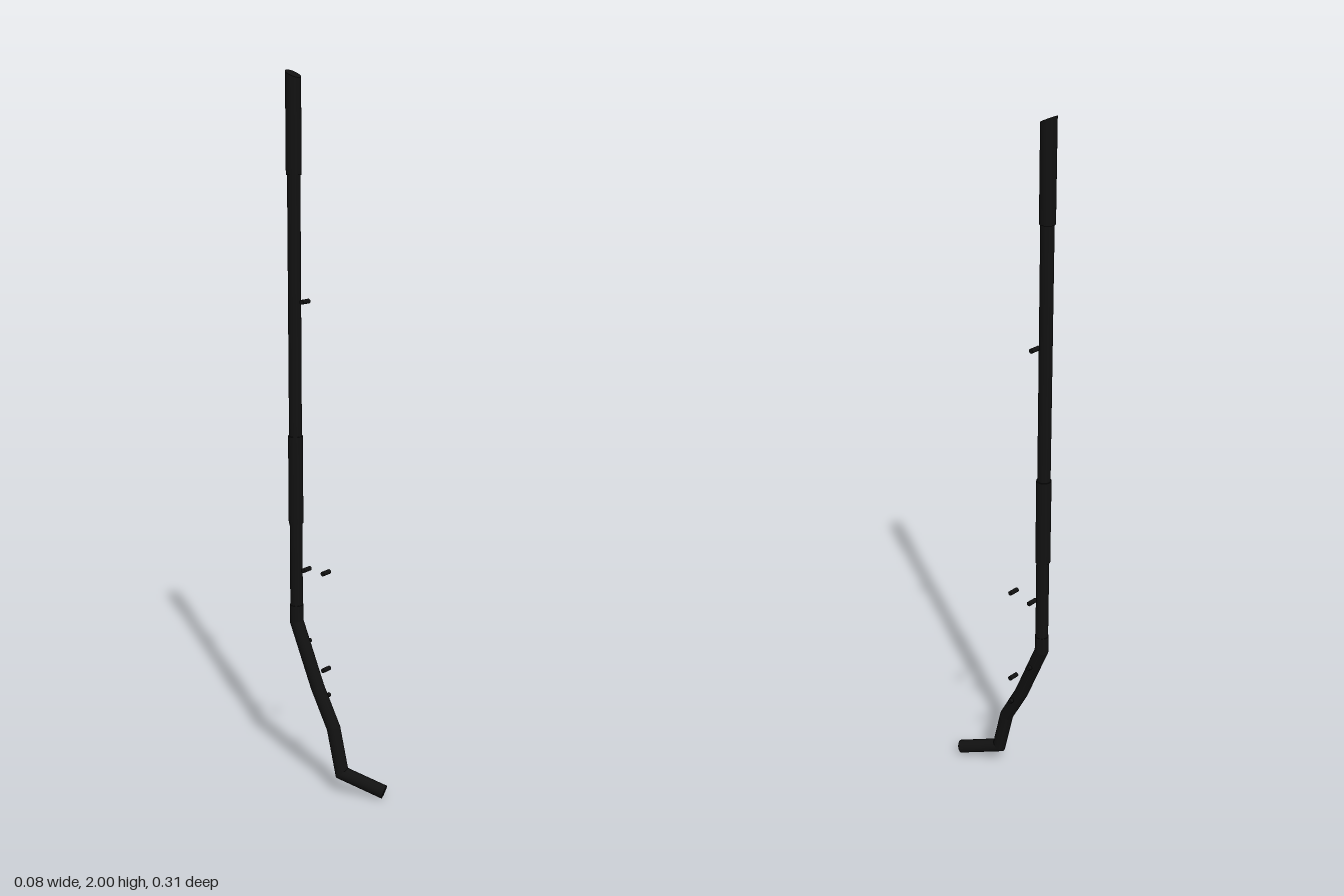
import * as THREE from 'three';
import { mergeGeometries } from 'three/addons/utils/BufferGeometryUtils.js';

const SIDES = 32;
const V = (x, y, z) => new THREE.Vector3(x, y, z);

// Capped round pipe along straight runs, mitred at every bend.
// startNormal / endNormal allow slanted end cuts.
function mitredPipe(points, radius, startNormal, endNormal) {
  const dirs = points.slice(1).map((p, i) => p.clone().sub(points[i]).normalize());
  const last = dirs.length;
  const u = V(1, 0, 0).addScaledVector(dirs[0], -dirs[0].x).normalize();
  const w = dirs[0].clone().cross(u);
  const onPlane = (q, d, p, n) =>
    q.clone().addScaledVector(d, p.clone().sub(q).dot(n) / d.dot(n));

  let ring = [];
  for (let k = 0; k < SIDES; k++) {
    const a = (k / SIDES) * Math.PI * 2;
    const q = points[0].clone()
      .addScaledVector(u, Math.cos(a) * radius).addScaledVector(w, Math.sin(a) * radius);
    ring.push(onPlane(q, dirs[0], points[0], startNormal || dirs[0]));
  }

  const parts = [];
  const add = (verts, index) => {
    const g = new THREE.BufferGeometry().setFromPoints(verts);
    g.setIndex(index);
    g.computeVertexNormals();
    parts.push(g);
  };
  const cap = (centre, r, flip) => {
    const index = [];
    for (let k = 0; k < SIDES; k++) {
      const n = (k + 1) % SIDES;
      index.push(0, ...(flip ? [n + 1, k + 1] : [k + 1, n + 1]));
    }
    add([centre, ...r], index);
  };

  cap(points[0], ring, true);
  for (let i = 0; i < last; i++) {
    const n = i + 1 < last ? dirs[i].clone().add(dirs[i + 1]).normalize() : endNormal || dirs[i];
    const next = ring.map((q) => onPlane(q, dirs[i], points[i + 1], n));
    const index = [];
    for (let k = 0; k < SIDES; k++) {
      const m = (k + 1) % SIDES;
      index.push(k, m, SIDES + k, m, SIDES + m, SIDES + k);
    }
    add([...ring, ...next], index);
    ring = next;
  }
  cap(points[last], ring, false);
  return mergeGeometries(parts);
}

export function createModel() {
  const group = new THREE.Group();
  const black = new THREE.MeshStandardMaterial({ color: 0x111111 });
  const add = (name, geometry) => {
    const mesh = new THREE.Mesh(geometry, black);
    mesh.name = name;
    group.add(mesh);
    return mesh;
  };

  const X = -0.018, Z = -0.136;
  const bend = V(X, 0.48, Z);

  // Long upright tube
  add('uprightTube', mitredPipe([V(X, 0.5, Z), V(X, 1.9, Z)], 0.0178));

  // Top sleeve, cut on a slant rising to the back
  add('topSleeve', mitredPipe([V(X, 1.73, Z), V(X, 1.99, Z)], 0.021, null,
    V(0, 1, 0.48).normalize()));

  // Joint sleeve half way up
  add('middleSleeve', mitredPipe([V(X, 0.77, Z), V(X, 1.02, Z)], 0.0205));

  // Bent lower tube with angled foot
  add('lowerTube', mitredPipe([
    V(X, 0.53, Z),
    bend,
    V(-0.019, 0.3, -0.06),
    V(-0.021, 0.19, 0.0),
    V(-0.022, 0.063, 0.031),
    V(0.022, 0.022, 0.148),
  ], 0.0193));

  // Small sideways pegs
  const pegs = [
    [1.393, -0.11], [0.635, -0.11], [0.42, -0.11],
    [0.64, -0.04], [0.353, -0.04], [0.272, -0.04],
  ];
  const pegGeometry = new THREE.CylinderGeometry(0.0065, 0.0065, 0.03, 16).rotateZ(Math.PI / 2);
  for (const [y, z] of pegs) add('peg', pegGeometry).position.set(-0.005, y, z);

  return group;
}
